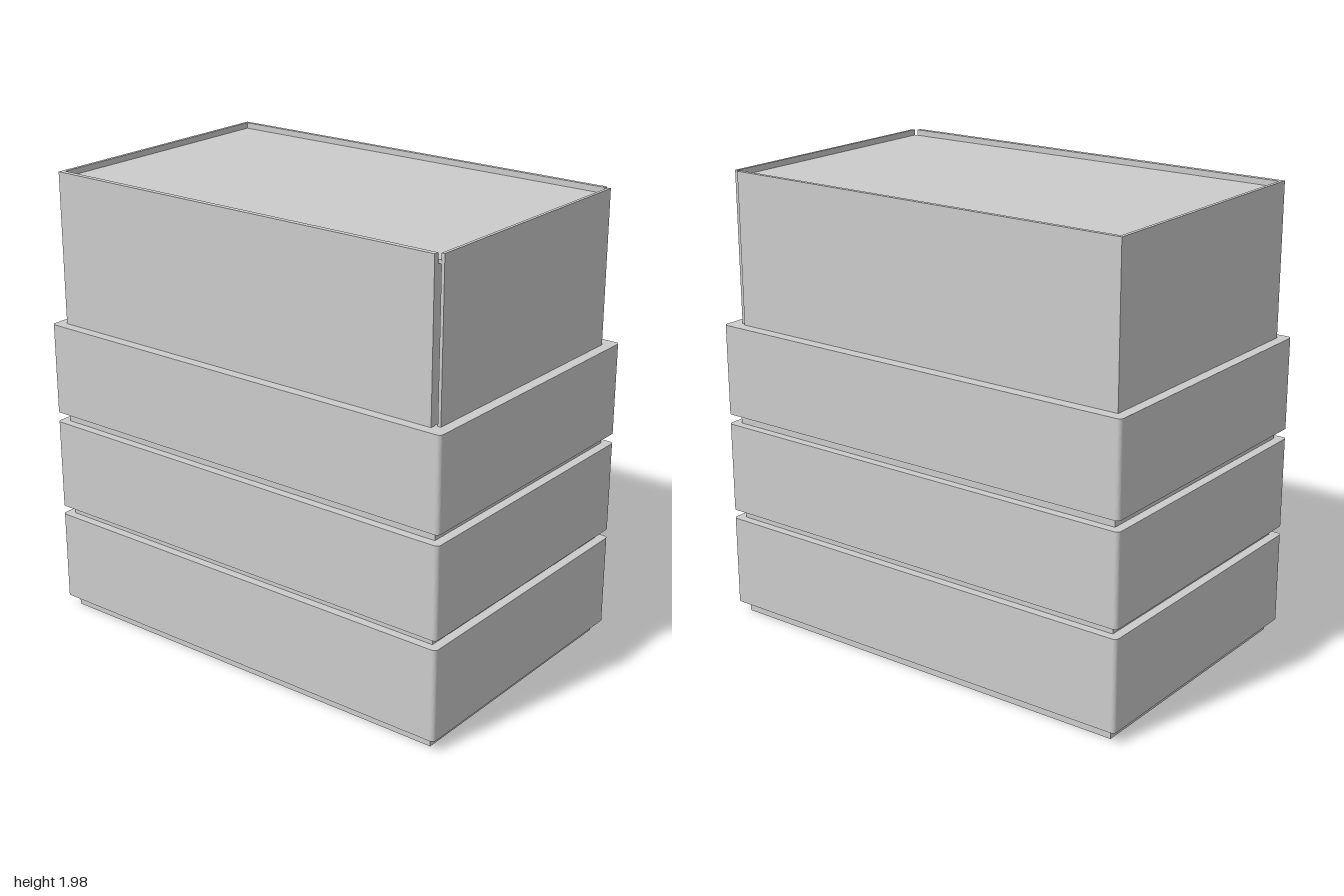
import * as THREE from 'three';

const material = new THREE.MeshStandardMaterial({ color: 0xcccccc });

// Box given by its lower and upper bounds on each axis
function block(name, [x0, x1], [y0, y1], [z0, z1]) {
  const mesh = new THREE.Mesh(new THREE.BoxGeometry(x1 - x0, y1 - y0, z1 - z0), material);
  mesh.position.set((x0 + x1) / 2, (y0 + y1) / 2, (z0 + z1) / 2);
  mesh.name = name;
  return mesh;
}

// Upright slab with small rounded vertical corners
function band(name, halfX, halfZ, radius, y0, y1) {
  const x = halfX, z = halfZ, r = radius;
  const shape = new THREE.Shape();
  shape.moveTo(-x + r, -z);
  shape.lineTo(x - r, -z);
  shape.absarc(x - r, -z + r, r, -Math.PI / 2, 0);
  shape.absarc(x - r, z - r, r, 0, Math.PI / 2);
  shape.absarc(-x + r, z - r, r, Math.PI / 2, Math.PI);
  shape.absarc(-x + r, -z + r, r, Math.PI, Math.PI * 1.5);
  const geometry = new THREE.ExtrudeGeometry(shape, { depth: y1 - y0, bevelEnabled: false, curveSegments: 4 });
  geometry.rotateX(-Math.PI / 2);
  const mesh = new THREE.Mesh(geometry, material);
  mesh.position.y = y0;
  mesh.name = name;
  return mesh;
}

export function createModel() {
  const model = new THREE.Group();
  model.name = 'building';

  // Recessed lower storeys, seen in the gaps between the bands
  model.add(block('lowerCore', [-0.6, 0.6], [0, 1.3], [-0.96, 0.96]));

  // Three overhanging floor bands
  [[0.05, 0.447], [0.487, 0.883], [0.927, 1.324]].forEach(([y0, y1], i) =>
    model.add(band(`floorBand${i + 1}`, 0.637, 1, 0.018, y0, y1)));

  // Upper block with a roof sunk behind the wall tops
  const base = 1.3, top = 1.98;
  const upper = new THREE.Group();
  upper.name = 'upperBlock';
  upper.add(
    block('upperCore', [-0.57, 0.57], [base, 1.94], [-0.94, 0.925]),
    block('roofSlab', [-0.57, 0.57], [1.94, 1.955], [-0.94, 0.94]),
    block('rightWall', [-0.593, -0.57], [base, top], [-0.955, 0.927]),
    block('leftWall', [0.57, 0.588], [base, top], [-0.955, 0.927]),
    block('backWall', [-0.57, 0.57], [base, top], [-0.955, -0.94]),
    block('frontWall', [-0.568, 0.574], [base, top], [0.939, 0.953])
  );
  model.add(upper);
  return model;
}
